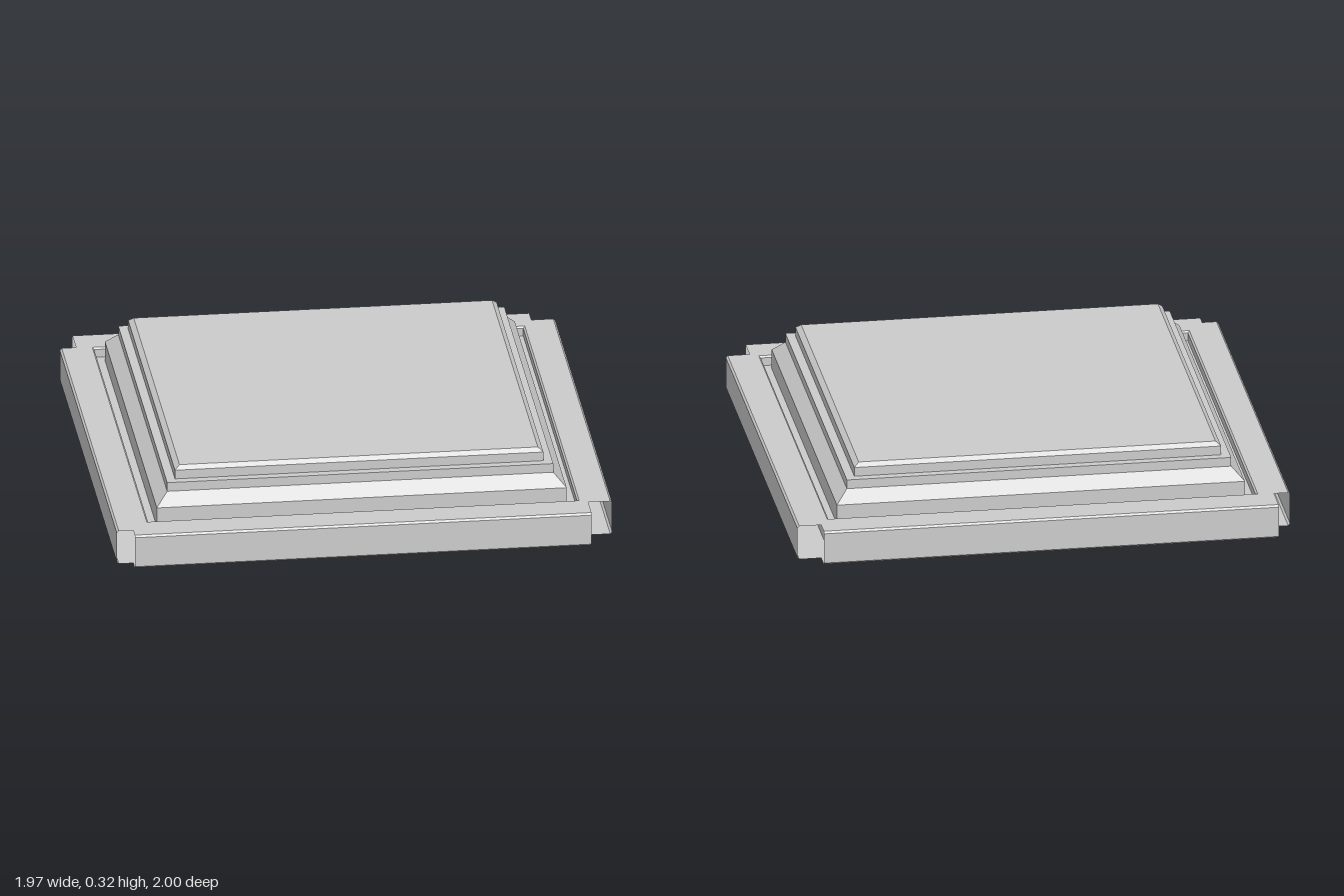
import * as THREE from 'three';

const material = new THREE.MeshStandardMaterial({ color: 0xcccccc, flatShading: true, side: THREE.DoubleSide });

const OUT_X = 0.985, OUT_Z = 1, RIM_H = 0.14, BEVEL = 0.008;
const IN_X = 0.85, IN_Z = 0.862;

function makeMesh(name, geometry) {
  const mesh = new THREE.Mesh(geometry, material);
  mesh.name = name;
  return mesh;
}

// Joins rows of points (all the same length) with flat quads
function skin(rows) {
  const pos = [];
  for (let i = 0; i < rows.length - 1; i++) {
    for (let j = 0; j < rows[i].length - 1; j++) {
      const a = rows[i][j], b = rows[i][j + 1], c = rows[i + 1][j + 1], d = rows[i + 1][j];
      pos.push(...a, ...b, ...c, ...a, ...c, ...d);
    }
  }
  const g = new THREE.BufferGeometry();
  g.setAttribute('position', new THREE.Float32BufferAttribute(pos, 3));
  g.computeVertexNormals();
  return g;
}

// Rectangular loop at height y, counter-clockwise seen from above
const loop = ([x, z, y]) => [[-x, y, z], [x, y, z], [x, y, -z], [-x, y, -z], [-x, y, z]];

// Flat rim face with notched corners and a rectangular opening
function rimFace(y, up) {
  const x = OUT_X - BEVEL, z = OUT_Z - BEVEL;
  const outline = [
    [-0.92, z], [0.89, z], [0.89, 0.89], [x, 0.89], [x, -0.925], [0.89, -0.925],
    [0.89, -z], [-0.92, -z], [-0.92, -0.875], [-x, -0.875], [-x, 0.945], [-0.92, 0.945],
  ];
  const toPoint = ([px, pz]) => new THREE.Vector2(px, up ? -pz : pz);
  const shape = new THREE.Shape(outline.map(toPoint));
  const hx = IN_X + (up ? 0.007 : 0), hz = IN_Z + (up ? 0.007 : 0);
  shape.holes.push(new THREE.Path([[-hx, -hz], [hx, -hz], [hx, hz], [-hx, hz]].map(toPoint)));
  return new THREE.ShapeGeometry(shape).rotateX(up ? -Math.PI / 2 : Math.PI / 2).translate(0, y, 0);
}

// Bevelled outer wall; place(outward, along) gives [x, z]
function rimWall(out, from, to, place) {
  const profile = [[out - BEVEL, 0], [out, BEVEL], [out, RIM_H - BEVEL], [out - BEVEL, RIM_H]];
  return skin(profile.map(([o, y]) => [from, to].map((t) => {
    const [x, z] = place(o, t);
    return [x, y, z];
  })));
}

export function createModel() {
  const model = new THREE.Group();
  model.name = 'steppedPanel';

  // Hollow rim with open corner notches
  const rim = new THREE.Group();
  rim.name = 'rim';
  rim.add(
    makeMesh('rimTop', rimFace(RIM_H, true)),
    makeMesh('rimUnderside', rimFace(0, false)),
    makeMesh('frontWall', rimWall(OUT_Z, -0.92, 0.89, (o, t) => [t, o])),
    makeMesh('backWall', rimWall(OUT_Z, 0.89, -0.92, (o, t) => [t, -o])),
    makeMesh('leftWall', rimWall(OUT_X, 0.89, -0.925, (o, t) => [o, t])),
    makeMesh('rightWall', rimWall(OUT_X, -0.875, 0.945, (o, t) => [-o, t])),
  );
  model.add(rim);

  // Inner rim wall with a small bevel at the top: half width, half depth, height
  const inner = [[IN_X + 0.007, IN_Z + 0.007, RIM_H], [IN_X, IN_Z, RIM_H - 0.007], [IN_X, IN_Z, 0]];
  model.add(makeMesh('rimInnerWall', skin(inner.map(loop))));

  // Groove floor and stepped moulding, open underneath
  const steps = [
    [IN_X, IN_Z, 0.1], [0.812, 0.828, 0.1],
    [0.812, 0.828, 0.18], [0.765, 0.78, 0.228],
    [0.765, 0.78, 0.265], [0.73, 0.746, 0.265],
    [0.73, 0.746, 0.302], [0.71, 0.73, 0.318],
  ];
  model.add(makeMesh('moulding', skin(steps.map(loop))));

  // Raised centre panel
  const panel = new THREE.PlaneGeometry(1.42, 1.46).rotateX(-Math.PI / 2).translate(0, 0.318, 0);
  model.add(makeMesh('centrePanel', panel));

  return model;
}
